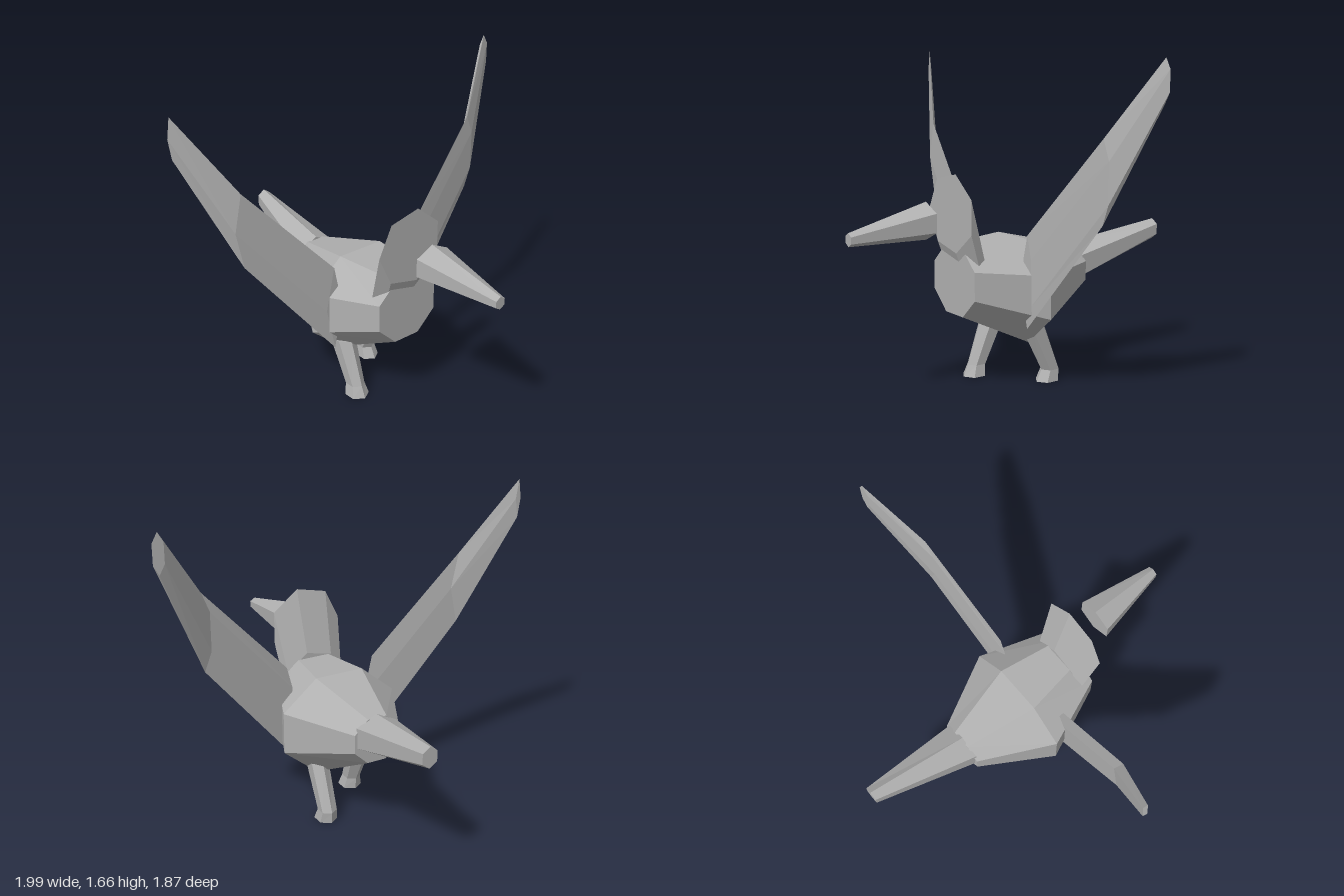
import * as THREE from 'three';

const grey = new THREE.MeshStandardMaterial({ color: 0xb0b0b0, flatShading: true, side: THREE.DoubleSide });
grey.name = 'grey';

// n-sided ring of points around a centre, spanned by the half-axes u and v
function ring(n, c, u, v, start = 0) {
  return Array.from({ length: n }, (_, i) => {
    const a = start + (i / n) * Math.PI * 2;
    return c.map((p, k) => p + u[k] * Math.cos(a) + v[k] * Math.sin(a));
  });
}

// faceted skin through a row of rings, closed at both ends
function loft(name, rings) {
  const pos = [];
  const tri = (a, b, c) => pos.push(...a, ...b, ...c);
  const n = rings[0].length;
  for (let k = 0; k < rings.length - 1; k++) {
    for (let i = 0; i < n; i++) {
      const j = (i + 1) % n;
      const [p, q] = [rings[k], rings[k + 1]];
      tri(p[i], p[j], q[j]);
      tri(p[i], q[j], q[i]);
    }
  }
  const first = rings[0], last = rings[rings.length - 1];
  for (let i = 1; i < n - 1; i++) {
    tri(first[0], first[i + 1], first[i]);
    tri(last[0], last[i], last[i + 1]);
  }
  const geo = new THREE.BufferGeometry();
  geo.setAttribute('position', new THREE.Float32BufferAttribute(pos, 3));
  geo.computeVertexNormals();
  const mesh = new THREE.Mesh(geo, grey);
  mesh.name = name;
  return mesh;
}

// upright ring facing along z
const upright = (n, x, y, z, rx, ry, start) => ring(n, [x, y, z], [rx, 0, 0], [0, ry, 0], start);

export function createModel() {
  const bird = new THREE.Group();
  bird.name = 'bird';

  // eight-sided body, given as z, centre height, half-width and half-height
  const k = 1 / Math.cos(Math.PI / 8);
  bird.add(loft('body', [
    [-0.4, 0.54, 0.125, 0.118],
    [-0.02, 0.482, 0.32, 0.266],
    [0.34, 0.56, 0.183, 0.172],
  ].map(([z, y, w, h]) => upright(8, 0, y, z, w * k, h * k, Math.PI / 8))));

  // seven-sided neck and head, cut flat at the front
  bird.add(loft('head', [
    upright(7, 0, 0.6, 0.26, 0.17, 0.17, Math.PI),
    upright(7, 0, 0.9, 0.355, 0.2, 0.2, Math.PI),
  ]));

  // six-sided beak, standing clear of the head
  const top = Math.PI / 2;
  bird.add(loft('beak', [
    upright(6, 0.005, 0.877, 0.5, 0.113, 0.093, top),
    upright(6, 0.026, 0.832, 0.93, 0.032, 0.033, top),
  ]));

  // six-sided tail, bent slightly to one side
  bird.add(loft('tail', [
    upright(6, 0.05, 0.7, -0.935, 0.045, 0.055, top),
    upright(6, 0, 0.567, -0.39, 0.127, 0.108, top),
  ]));

  // legs in mid-stride: height, z, half-width, half-depth
  const leg = (name, x, rows) => bird.add(loft(name, rows.map(
    ([y, z, w, d]) => ring(6, [x, y, z], [0, 0, d], [w / 0.866, 0, 0]))));
  leg('rightLeg', -0.147, [[0, 0.125, 0.053, 0.066], [0.06, 0.11, 0.04, 0.055], [0.3, 0.01, 0.054, 0.072]]);
  leg('leftLeg', 0.143, [[0, -0.132, 0.05, 0.066], [0.06, -0.15, 0.042, 0.053], [0.3, -0.04, 0.048, 0.07]]);

  // thin raised wings: centre of each station, half-chord, half-thickness
  const wing = (name, n, side, rows) => {
    const rings = rows.map(([x, y, z, h, t]) => ring(n, [x, y, z], [0, h, 0], [side * t, 0, 0]));
    bird.add(loft(name, side > 0 ? rings : rings.reverse()));
  };
  wing('leftWing', 6, 1, [[0.25, 0.56, 0.075, 0.235, 0.035], [0.722, 1.1, 0, 0.2, 0.045], [0.967, 1.565, -0.14, 0.1, 0.032]]);
  wing('rightWing', 4, -1, [[-0.25, 0.53, 0.075, 0.23, 0.05], [-0.727, 1.083, 0, 0.19, 0.04], [-0.985, 1.565, -0.14, 0.1, 0.015]]);

  return bird;
}
